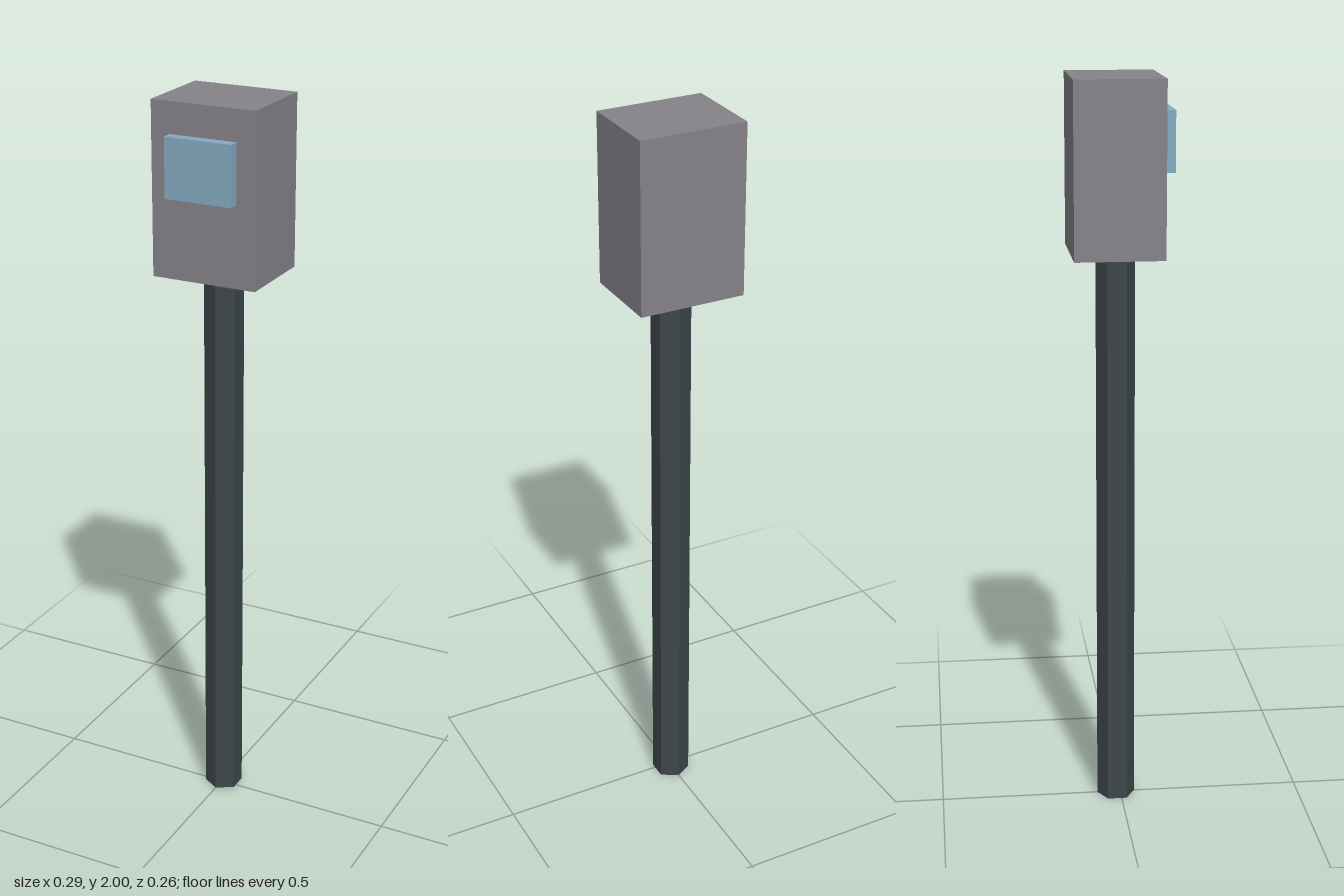
import * as THREE from 'three';

const paint = (name, color) => {
  const m = new THREE.MeshStandardMaterial({ color, flatShading: true });
  m.name = name;
  return m;
};

export function createModel() {
  const group = new THREE.Group();
  const casingGrey = paint('casing grey', 0x858388);
  const screenBlue = paint('screen blue', 0x84aac1);
  const postDark = paint('post dark', 0x3d464a);

  const add = (name, geometry, material, x, y, z) => {
    const mesh = new THREE.Mesh(geometry, material);
    mesh.name = name;
    mesh.position.set(x, y, z);
    group.add(mesh);
  };

  // Six-sided post with a corner facing forward
  add('post', new THREE.CylinderGeometry(0.052, 0.052, 1.545, 6), postDark, 0, 0.7725, -0.0125);
  // Meter head
  add('head', new THREE.BoxGeometry(0.288, 0.455, 0.235), casingGrey, 0, 1.7725, -0.0145);
  // Raised display on the front of the head
  add('display', new THREE.BoxGeometry(0.185, 0.157, 0.029), screenBlue, 0, 1.8395, 0.1175);

  return group;
}
